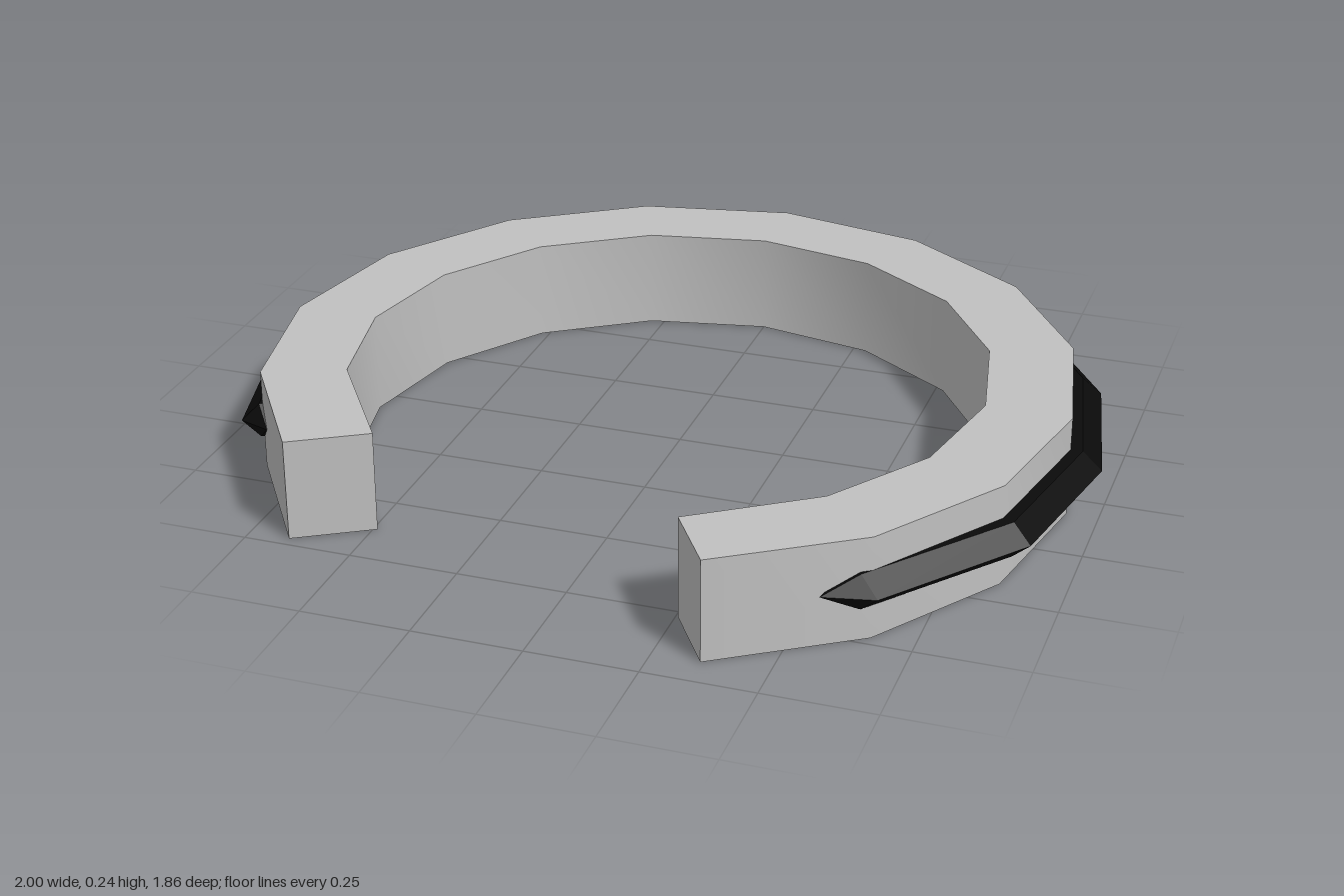
import * as THREE from 'three';
import { toCreasedNormals } from 'three/addons/utils/BufferGeometryUtils.js';

const CZ = 0.068; // centre of the arcs
const STEP = Math.PI / 8; // sixteen-sided circle
const HEIGHT = 0.236;

// [x, z] on a circle, step 0 at the back, positive towards +x
const at = (r, step) => [r * Math.sin(step * STEP), CZ - r * Math.cos(step * STEP)];

function arc(r, from, to) {
  const points = [];
  for (let s = from; s <= to; s++) points.push(at(r, s));
  return points;
}

// Open cuff: ends cut square to the last straight segment
function cuffGeometry() {
  const outer = arc(0.928, -6, 7);
  const inner = [[-0.49, 0.624], ...arc(0.733, -5, 6), [0.255, 0.77]];
  const outline = [...outer, ...inner.reverse()];
  const shape = new THREE.Shape(outline.map(([x, z]) => new THREE.Vector2(x, -z)));
  const geometry = new THREE.ExtrudeGeometry(shape, { depth: HEIGHT, bevelEnabled: false });
  geometry.rotateX(-Math.PI / 2);
  return toCreasedNormals(geometry, 0.6);
}

// Bevelled band: a five-point section carried round the cuff, tapering into its wall
function bandGeometry() {
  const section = (ridge, edge, inner) => [
    [ridge, 0], [edge, 0.041], [inner, 0.041], [inner, -0.041], [edge, -0.041],
  ].map(([[x, z], y]) => [x, HEIGHT / 2 + y, z]);
  const tip = (p) => Array(5).fill([p[0], HEIGHT / 2, p[1]]);

  const loops = [tip([-0.825, 0.472]), section([-0.9, 0.447], [-0.862, 0.432], at(0.87, -5))];
  for (let s = -4; s <= 5; s++) loops.push(section(at(1, s), at(0.955, s), at(0.87, s)));
  loops.push(section([0.68, 0.77], [0.638, 0.747], at(0.87, 6)), tip([0.565, 0.795]));

  const positions = [];
  for (let i = 0; i < loops.length - 1; i++) {
    for (let j = 0; j < 5; j++) {
      const k = (j + 1) % 5;
      const a = loops[i][j], b = loops[i][k], c = loops[i + 1][j], d = loops[i + 1][k];
      positions.push(...a, ...b, ...c, ...b, ...d, ...c);
    }
  }
  const geometry = new THREE.BufferGeometry();
  geometry.setAttribute('position', new THREE.Float32BufferAttribute(positions, 3));
  geometry.computeVertexNormals();
  return geometry;
}

export function createModel() {
  const silver = new THREE.MeshStandardMaterial({ color: 0xc0c0c0 });
  silver.name = 'silver';
  const black = new THREE.MeshStandardMaterial({ color: 0x0a0a0a });
  black.name = 'black';

  const cuff = new THREE.Mesh(cuffGeometry(), silver);
  cuff.name = 'cuff';
  const band = new THREE.Mesh(bandGeometry(), black);
  band.name = 'outerBand';

  const model = new THREE.Group();
  model.name = 'bracelet';
  model.add(cuff, band);
  return model;
}
